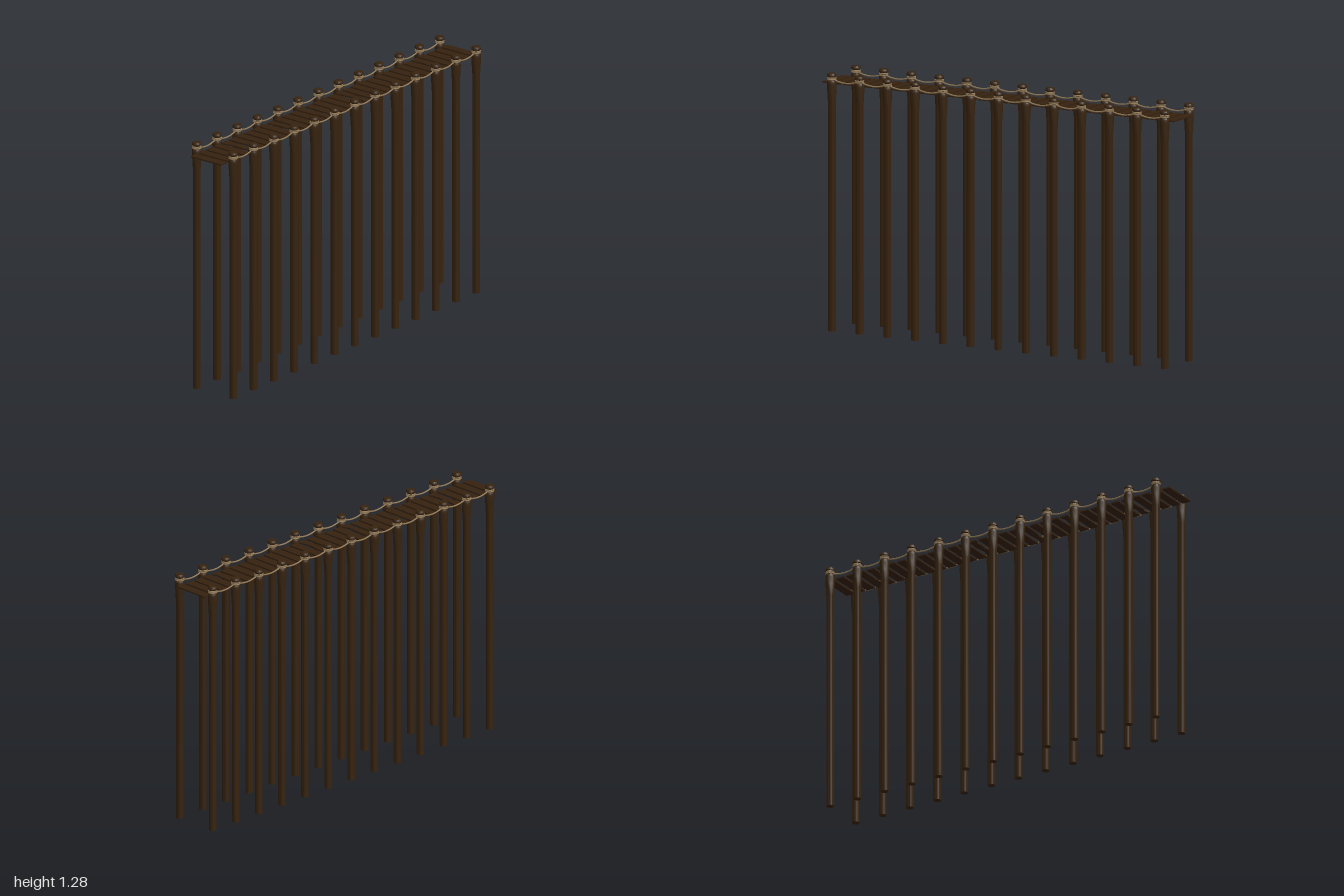
import * as THREE from 'three';
import { toCreasedNormals } from 'three/addons/utils/BufferGeometryUtils.js';

const POSTS = 13, PITCH = 0.1578, FIRST_X = -0.932, POST_Z = 0.114;
const PLANKS = 34, DECK_Y = 1.225, DECK_THICK = 0.007;

function material(name, color) {
  const m = new THREE.MeshStandardMaterial({ color });
  m.name = name;
  return m;
}

// Small seeded generator for plank wear
function seeded(seed) {
  return () => {
    seed = (seed * 16807) % 2147483647;
    return seed / 2147483647;
  };
}

// Plank outline in x/z with worn long edges
function plankGeometry(wear, rand) {
  const halfW = 0.0235, halfL = 0.094, steps = 6;
  const shape = new THREE.Shape();
  const zAt = i => -halfL + (2 * halfL * i) / steps;
  shape.moveTo(-halfW, zAt(0));
  shape.lineTo(halfW, zAt(0));
  for (let i = 1; i < steps; i++) shape.lineTo(halfW - rand() * wear, zAt(i));
  shape.lineTo(halfW, zAt(steps));
  shape.lineTo(-halfW, zAt(steps));
  for (let i = steps - 1; i > 0; i--) shape.lineTo(-halfW + rand() * wear, zAt(i));
  shape.closePath();
  const g = new THREE.ExtrudeGeometry(shape, { depth: DECK_THICK, bevelEnabled: false });
  g.translate(0, 0, -DECK_THICK / 2);
  g.rotateX(-Math.PI / 2);
  return g;
}

export function createModel() {
  const model = new THREE.Group();
  model.name = 'ropeWalkway';
  const postWood = material('postWood', 0x37230f);
  const plankWood = material('plankWood', 0x35210f);
  const ropeFibre = material('ropeFibre', 0x927a58);

  const add = (name, geometry, mat, x, y, z) => {
    const mesh = new THREE.Mesh(geometry, mat);
    mesh.name = name;
    mesh.position.set(x, y, z);
    model.add(mesh);
    return mesh;
  };

  // Post: straight shaft, flared collar, rope groove, rounded cap
  const profile = [
    [0, 0], [0.019, 0], [0.019, 1.13], [0.0225, 1.19], [0.024, 1.225], [0.0235, 1.238],
    [0.02, 1.244], [0.02, 1.26], [0.0235, 1.264], [0.0235, 1.271], [0.019, 1.279], [0, 1.28],
  ].map(([r, y]) => new THREE.Vector2(r, y));
  const postGeo = toCreasedNormals(new THREE.LatheGeometry(profile, 12), 0.6);

  // Rope lashing coil
  const coilGeo = new THREE.TorusGeometry(0.0195, 0.0042, 6, 14);
  coilGeo.rotateX(Math.PI / 2);

  // Sagging rope between two neighbouring posts
  const sagPoints = [];
  for (let i = 0; i <= 8; i++) {
    const t = i / 8;
    sagPoints.push(new THREE.Vector3(t * PITCH, 1.253 - 0.018 * 4 * t * (1 - t), 0));
  }
  const ropeGeo = new THREE.TubeGeometry(new THREE.CatmullRomCurve3(sagPoints), 14, 0.0038, 6);

  for (const side of [1, -1]) {
    const label = side > 0 ? 'front' : 'back';
    for (let i = 0; i < POSTS; i++) {
      const x = FIRST_X + i * PITCH, z = side * POST_Z;
      add(`${label}Post`, postGeo, postWood, x, 0, z);
      for (const y of [1.2485, 1.2565]) add(`${label}Lashing`, coilGeo, ropeFibre, x, y, z);
      if (i < POSTS - 1) add(`${label}Rope`, ropeGeo, ropeFibre, x, 0, z);
    }
  }

  // Deck of separate planks, a few of them badly worn
  const rand = seeded(71);
  const worn = [4, 10, 14, 19, 29];
  const deckPitch = (2 - 0.047) / (PLANKS - 1);
  for (let i = 0; i < PLANKS; i++) {
    const geo = plankGeometry(worn.includes(i) ? 0.012 : 0.002, rand);
    add('plank', geo, plankWood, -1 + 0.0235 + i * deckPitch, DECK_Y, -0.002);
  }
  return model;
}
